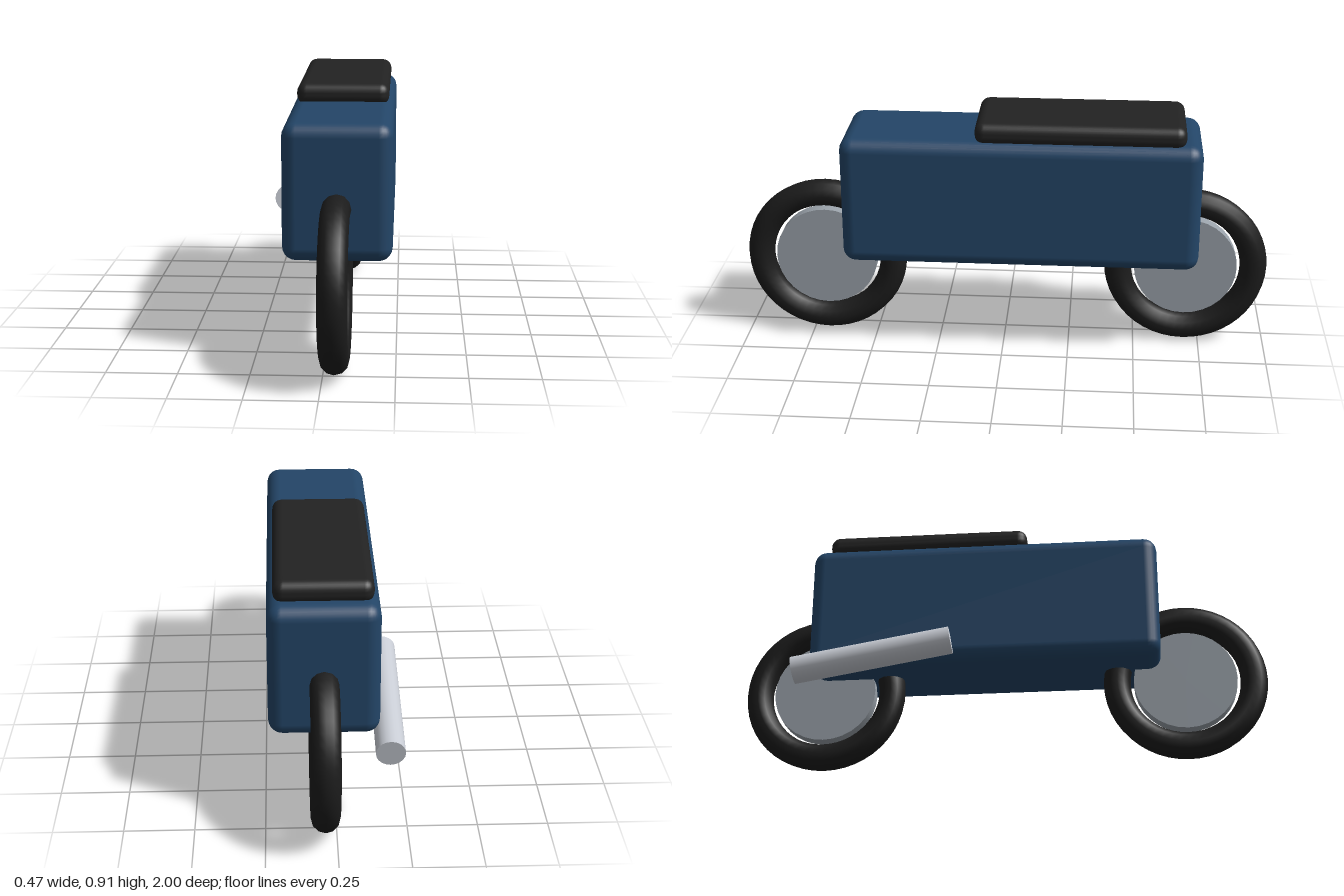
import * as THREE from 'three';
import { RoundedBoxGeometry } from 'three/addons/geometries/RoundedBoxGeometry.js';

function material(name, color) {
  const m = new THREE.MeshStandardMaterial({ color });
  m.name = name;
  return m;
}

export function createModel() {
  const paint = material('blue paint', 0x234567);
  const rubber = material('black rubber', 0x1c1c1c);
  const leather = material('dark seat cover', 0x222222);
  const hubMetal = material('grey hub metal', 0x9aa2aa);
  const chrome = material('bright exhaust metal', 0xc8ccd4);

  const model = new THREE.Group();
  model.name = 'motorcycle';
  const add = (parent, name, geometry, mat, x = 0, y = 0, z = 0) => {
    const mesh = new THREE.Mesh(geometry, mat);
    mesh.name = name;
    mesh.position.set(x, y, z);
    parent.add(mesh);
    return mesh;
  };

  // Body and seat
  const midX = 0.041;
  add(model, 'body', new RoundedBoxGeometry(0.388, 0.49, 1.33, 3, 0.05), paint, midX, 0.605, -0.065);
  add(model, 'seat', new RoundedBoxGeometry(0.345, 0.082, 0.77, 3, 0.036), leather, midX, 0.876, -0.283);

  // Wheels: a tyre ring around a loose-fitting hub disc
  const tyre = new THREE.TorusGeometry(0.258, 0.051, 12, 48).rotateY(Math.PI / 2);
  const hub = new THREE.CylinderGeometry(0.195, 0.195, 0.05, 32).rotateZ(Math.PI / 2);
  for (const [name, z] of [['frontWheel', 0.69], ['rearWheel', -0.69]]) {
    const wheel = new THREE.Group();
    wheel.name = name;
    wheel.position.set(midX, 0.311, z);
    add(wheel, 'tyre', tyre, rubber);
    add(wheel, 'hub', hub, hubMetal);
    model.add(wheel);
  }

  // Exhaust pipe on the right side, sloping down to the rear
  const pipe = new THREE.CylinderGeometry(0.052, 0.052, 0.6, 20).rotateX(Math.PI / 2);
  const exhaust = add(model, 'exhaust', pipe, chrome, -0.186, 0.368, -0.477);
  exhaust.rotation.x = -0.168;

  return model;
}
